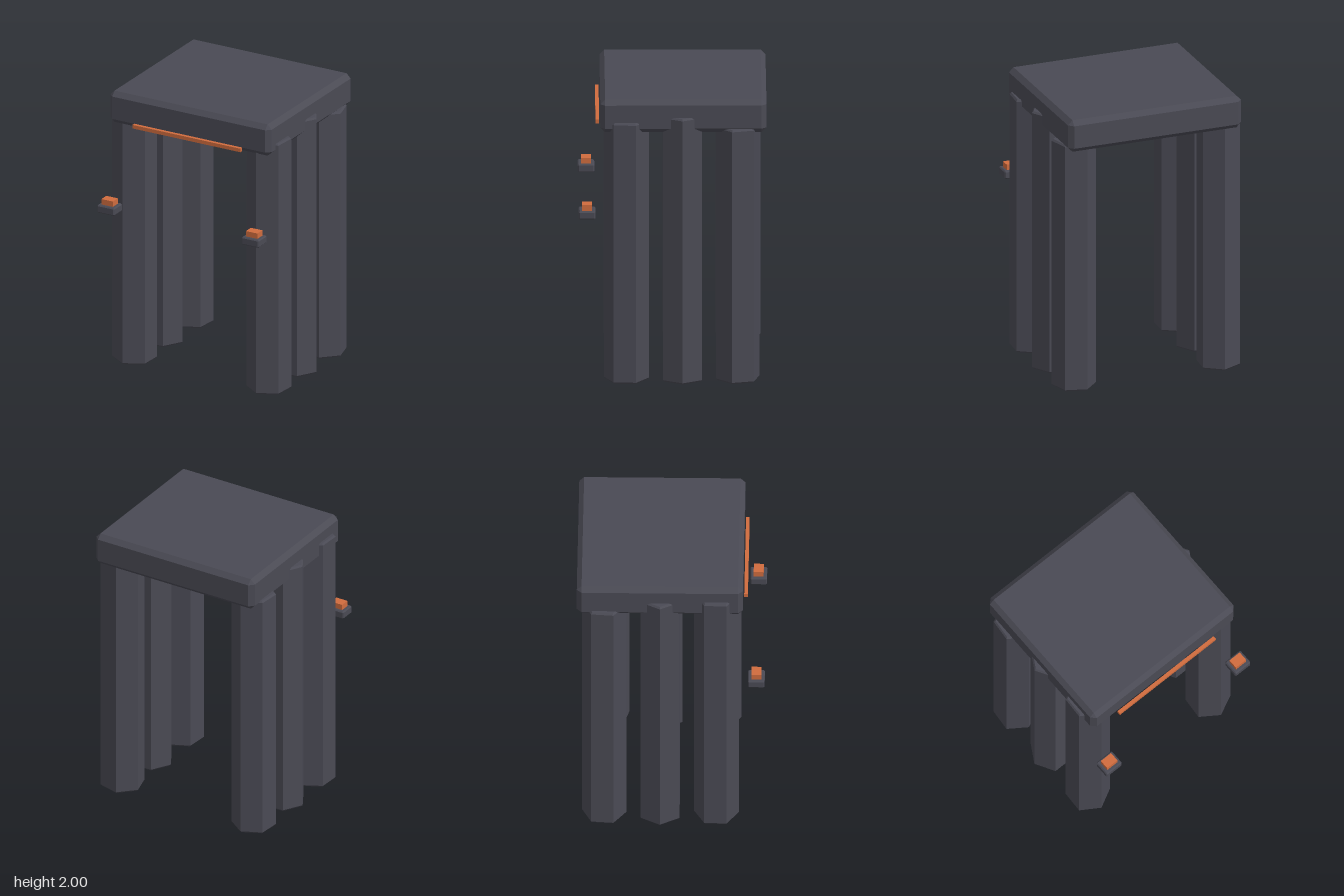
import * as THREE from 'three';
import { ConvexGeometry } from 'three/addons/geometries/ConvexGeometry.js';

const stone = new THREE.MeshStandardMaterial({ color: 0x4a4a54 });
stone.name = 'dark stone';
const ember = new THREE.MeshStandardMaterial({ color: 0xd06c3e });
ember.name = 'ember orange';

// Box with every edge chamfered by c: three points at each corner
function chamferBox(w, h, d, c) {
  const pts = [];
  for (const sx of [-1, 1]) for (const sy of [-1, 1]) for (const sz of [-1, 1]) {
    for (const [a, b, e] of [[0, c, c], [c, 0, c], [c, c, 0]]) {
      pts.push(new THREE.Vector3(sx * (w / 2 - a), sy * (h / 2 - b), sz * (d / 2 - e)));
    }
  }
  return new ConvexGeometry(pts);
}

// Six-sided column with slightly chamfered ends, flat shaded
function hexColumn(r, h, c) {
  const profile = [[0, 0], [r - c, 0], [r, c], [r, h - c], [r - c, h], [0, h]];
  const lathe = new THREE.LatheGeometry(profile.map(([x, y]) => new THREE.Vector2(x, y)), 6);
  const flat = lathe.toNonIndexed();
  flat.computeVertexNormals();
  return flat;
}

export function createModel() {
  const group = new THREE.Group();
  const add = (name, geometry, material, x, y, z, turn = 0) => {
    const mesh = new THREE.Mesh(geometry, material);
    mesh.name = name;
    mesh.position.set(x, y, z);
    mesh.rotation.y = THREE.MathUtils.degToRad(turn);
    group.add(mesh);
  };

  // Lintel slab on top
  add('lintelSlab', chamferBox(1.27, 0.23, 1.13, 0.033), stone, 0, 1.885, -0.076);

  // Two rows of hexagonal columns: name, x, z, height, turn in degrees
  const columns = [
    ['leftFrontColumn', 0.528, 0.312, 1.845, -4.5],
    ['leftMiddleColumn', 0.528, -0.07, 1.88, 30],
    ['leftBackColumn', 0.526, -0.447, 1.8, 15],
    ['rightFrontColumn', -0.531, 0.308, 1.895, -2.5],
    ['rightMiddleColumn', -0.532, -0.075, 1.88, 30],
    ['rightBackColumn', -0.531, -0.455, 1.81, -5],
  ];
  for (const [name, x, z, h, turn] of columns) {
    add(name, hexColumn(0.153, h, 0.012), stone, x, 0, z, turn);
  }

  // Glowing strip under the front edge of the slab
  add('glowStrip', new THREE.BoxGeometry(0.85, 0.026, 0.025), ember, 0, 1.794, 0.508);

  // Floating braziers in front of the columns
  for (const [side, s] of [['left', 1], ['right', -1]]) {
    add(side + 'BrazierBase', chamferBox(0.136, 0.057, 0.114, 0.008), stone, s * 0.569, 1.188, 0.58);
    add(side + 'BrazierEmber', new THREE.BoxGeometry(0.09, 0.04, 0.068), ember, s * 0.569, 1.236, 0.58);
  }
  return group;
}
